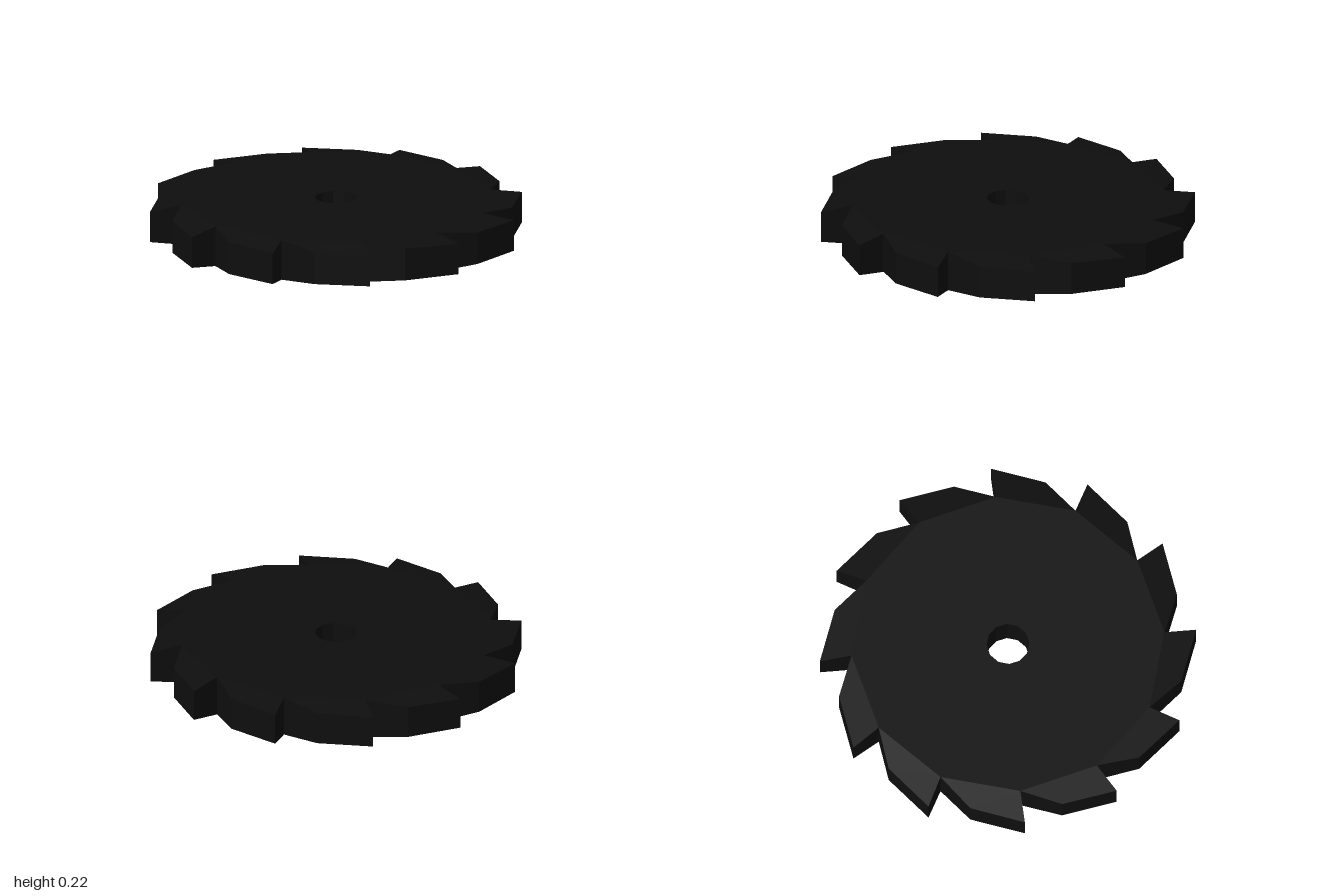
import * as THREE from 'three';

const TEETH = 12;
const STEP = 360 / TEETH;
const HEIGHT = 0.225;
const BEVEL = 0.026; // how far the tooth tips thin down on each face

// Point on the blade: radius, angle in degrees (from +x towards +z), inset from the face
const polar = (r, deg, inset = 0) => {
  const a = THREE.MathUtils.degToRad(deg);
  return { x: r * Math.cos(a), z: r * Math.sin(a), inset };
};
const top = (p) => [p.x, HEIGHT - p.inset, p.z];
const bottom = (p) => [p.x, p.inset, p.z];

// Collects four-cornered faces into one flat-shaded mesh
function faceBuilder() {
  const positions = [];
  const quad = (a, b, c, d) => positions.push(...a, ...b, ...c, ...a, ...c, ...d);
  return {
    // matching faces on the upper and lower side
    caps(a, b, c, d) {
      quad(top(a), top(b), top(c), top(d));
      quad(bottom(d), bottom(c), bottom(b), bottom(a));
    },
    // upright wall facing outward when going from p to q by increasing angle
    wall(p, q) {
      quad(bottom(p), top(p), top(q), bottom(q));
    },
    mesh(name, material) {
      const geometry = new THREE.BufferGeometry();
      geometry.setAttribute('position', new THREE.Float32BufferAttribute(positions, 3));
      geometry.computeVertexNormals();
      const mesh = new THREE.Mesh(geometry, material);
      mesh.name = name;
      return mesh;
    },
  };
}

export function createModel() {
  const group = new THREE.Group();
  group.name = 'sawBlade';
  const material = new THREE.MeshStandardMaterial({ color: 0x0e0e0e, flatShading: true });

  const disc = faceBuilder();
  const teeth = faceBuilder();

  for (let i = 0; i < TEETH; i++) {
    const a = i * STEP;
    const hole = polar(0.116, a + 15);
    const nextHole = polar(0.116, a + 15 + STEP);
    const notch = polar(0.853, a + 13.8);
    const nextNotch = polar(0.853, a + 13.8 + STEP);
    const tip = polar(1.027, a + 13.2, BEVEL);
    const shoulder = polar(0.964, a + 30.6, BEVEL * 0.87);

    // flat disc sector and the wall of the centre hole
    disc.caps(hole, nextHole, nextNotch, notch);
    disc.wall(nextHole, hole);

    // hooked tooth with thinned faces and three edge walls
    teeth.caps(notch, nextNotch, shoulder, tip);
    teeth.wall(notch, tip);
    teeth.wall(tip, shoulder);
    teeth.wall(shoulder, nextNotch);
  }

  group.add(disc.mesh('disc', material), teeth.mesh('teeth', material));
  return group;
}
